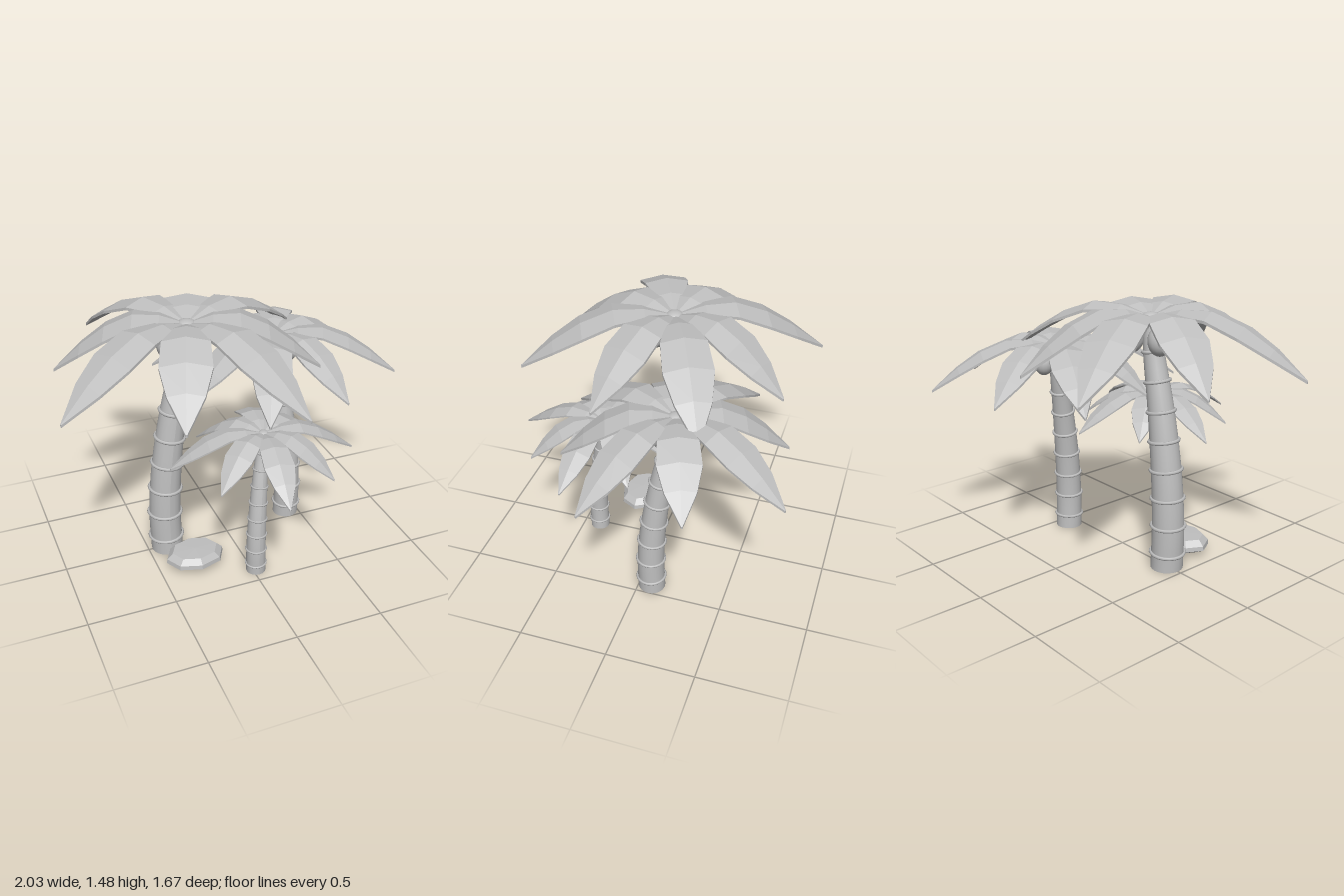
import * as THREE from 'three';

// One flat grey for everything; facets come from split vertices
const grey = new THREE.MeshStandardMaterial({ color: 0xbfbfbf });
grey.name = 'plainGrey';

function addMesh(parent, name, geometry) {
  const mesh = new THREE.Mesh(geometry, grey);
  mesh.name = name;
  parent.add(mesh);
  return mesh;
}

function faceted(geometry) {
  const g = geometry.index ? geometry.toNonIndexed() : geometry;
  g.computeVertexNormals();
  return g;
}

// Frond: ridged, arching leaf along +x, as [reach, height, half width]
const frondSections = [
  [0.02, 0.0, 0.025], [0.17, 0.042, 0.078], [0.34, 0.048, 0.125],
  [0.52, -0.02, 0.135], [0.68, -0.12, 0.095], [0.86, -0.262, 0.004],
];

function frondGeometry() {
  const positions = [], indices = [];
  const thick = 0.016;
  for (const [x, y, w] of frondSections) {
    const edge = y - w * 0.2;
    positions.push(x, edge, -w, x, y, 0, x, edge, w);
    positions.push(x, edge - thick, w, x, y - thick, 0, x, edge - thick, -w);
  }
  for (let i = 0; i < frondSections.length - 1; i++) {
    for (let j = 0; j < 6; j++) {
      const a = i * 6 + j, a1 = i * 6 + (j + 1) % 6;
      indices.push(a, a1, a + 6, a1, a1 + 6, a + 6);
    }
  }
  const tip = (frondSections.length - 1) * 6;
  for (let j = 1; j < 5; j++) indices.push(tip, tip + j, tip + j + 1);
  const g = new THREE.BufferGeometry();
  g.setAttribute('position', new THREE.Float32BufferAttribute(positions, 3));
  g.setIndex(indices);
  return faceted(g);
}

// Trunk lean as [fraction of height, fraction of sideways travel]
const lean = [[0, 0], [0.17, -0.04], [0.35, 0.05], [0.53, 0.25], [0.7, 0.51], [0.85, 0.8], [1, 1]];
const HEIGHT = 1.42;
const UP = new THREE.Vector3(0, 1, 0);
const trunkRadius = (t) => 0.093 * (1 - 0.5 * t * t);

// Every tree is built at the tall tree's size, then scaled
function makeTree(name, { height, base, top, turn, nutTurn }, leaf) {
  const tree = new THREE.Group();
  tree.name = name;
  const s = height / HEIGHT;
  tree.scale.setScalar(s);
  tree.position.set(base[0], 0, base[1]);
  const dx = (top[0] - base[0]) / s, dz = (top[1] - base[1]) / s;
  const curve = new THREE.CatmullRomCurve3(
    lean.map(([t, f]) => new THREE.Vector3(dx * f, t * HEIGHT, dz * f)));
  const frame = (t) => ({
    center: curve.getPointAt(t),
    tilt: new THREE.Quaternion().setFromUnitVectors(UP, curve.getTangentAt(t)),
  });

  // Trunk: a tapered cylinder bent along the curve
  const trunk = new THREE.CylinderGeometry(1, 1, 1, 20, 20);
  const pos = trunk.attributes.position, v = new THREE.Vector3();
  for (let i = 0; i < pos.count; i++) {
    const t = THREE.MathUtils.clamp(pos.getY(i) + 0.5, 0, 1);
    const { center, tilt } = frame(t);
    v.set(pos.getX(i), 0, pos.getZ(i)).multiplyScalar(trunkRadius(t));
    v.applyQuaternion(tilt).add(center);
    pos.setXYZ(i, v.x, Math.max(v.y, 0), v.z);
  }
  trunk.computeVertexNormals();
  addMesh(tree, 'trunk', trunk);

  // Bark rings
  for (let k = 0; k < 8; k++) {
    const t = 0.066 + k * 0.115;
    const { center, tilt } = frame(t);
    const torus = new THREE.TorusGeometry(trunkRadius(t) + 0.003, 0.01, 6, 20);
    torus.rotateX(Math.PI / 2);
    const ring = addMesh(tree, 'barkRing', torus);
    ring.position.copy(center);
    ring.quaternion.copy(tilt);
  }

  // Crown with eight fronds, long and short in turn
  const crown = new THREE.Group();
  crown.name = 'crown';
  crown.position.set(dx, HEIGHT, dz);
  tree.add(crown);
  for (let k = 0; k < 8; k++) {
    const frond = addMesh(crown, 'frond', leaf);
    frond.rotation.y = -THREE.MathUtils.degToRad(turn + k * 45);
    frond.position.y = 0.008;
    frond.scale.x = k % 2 ? 0.84 : 1;
  }
  const bud = addMesh(crown, 'crownBud', new THREE.SphereGeometry(0.05, 14, 8));
  bud.scale.y = 0.5;

  // Three coconuts under the fronds
  for (let k = 0; k < 3; k++) {
    const a = THREE.MathUtils.degToRad(nutTurn + k * 120);
    const nut = addMesh(crown, 'coconut', new THREE.SphereGeometry(0.067, 18, 12));
    nut.scale.y = 1.25;
    nut.position.set(Math.cos(a) * 0.1, -0.113, Math.sin(a) * 0.1);
  }
  return tree;
}

export function createModel() {
  const model = new THREE.Group();
  model.name = 'palmGrove';
  const leaf = frondGeometry();
  model.add(
    makeTree('tallPalm', { height: 1.42, base: [-0.385, 0], top: [-0.23, 0], turn: 65, nutTurn: 73 }, leaf),
    makeTree('middlePalm', { height: 1.18, base: [0.425, -0.075], top: [0.365, -0.19], turn: 25, nutTurn: 35 }, leaf),
    makeTree('smallPalm', { height: 0.855, base: [0.02, 0.4], top: [0.085, 0.32], turn: 8, nutTurn: 90 }, leaf));

  // Flat eight-sided stone
  const profile = [[0, 0.01], [0.65, 0.018], [1, 0.05], [0.98, 0.075], [0.78, 0.107], [0, 0.11]]
    .map(([r, y]) => new THREE.Vector2(r, y));
  const stone = addMesh(model, 'stone',
    faceted(new THREE.LatheGeometry(profile, 8).scale(0.172, 1, 0.13)));
  stone.position.set(-0.288, 0, 0.22);
  return model;
}
